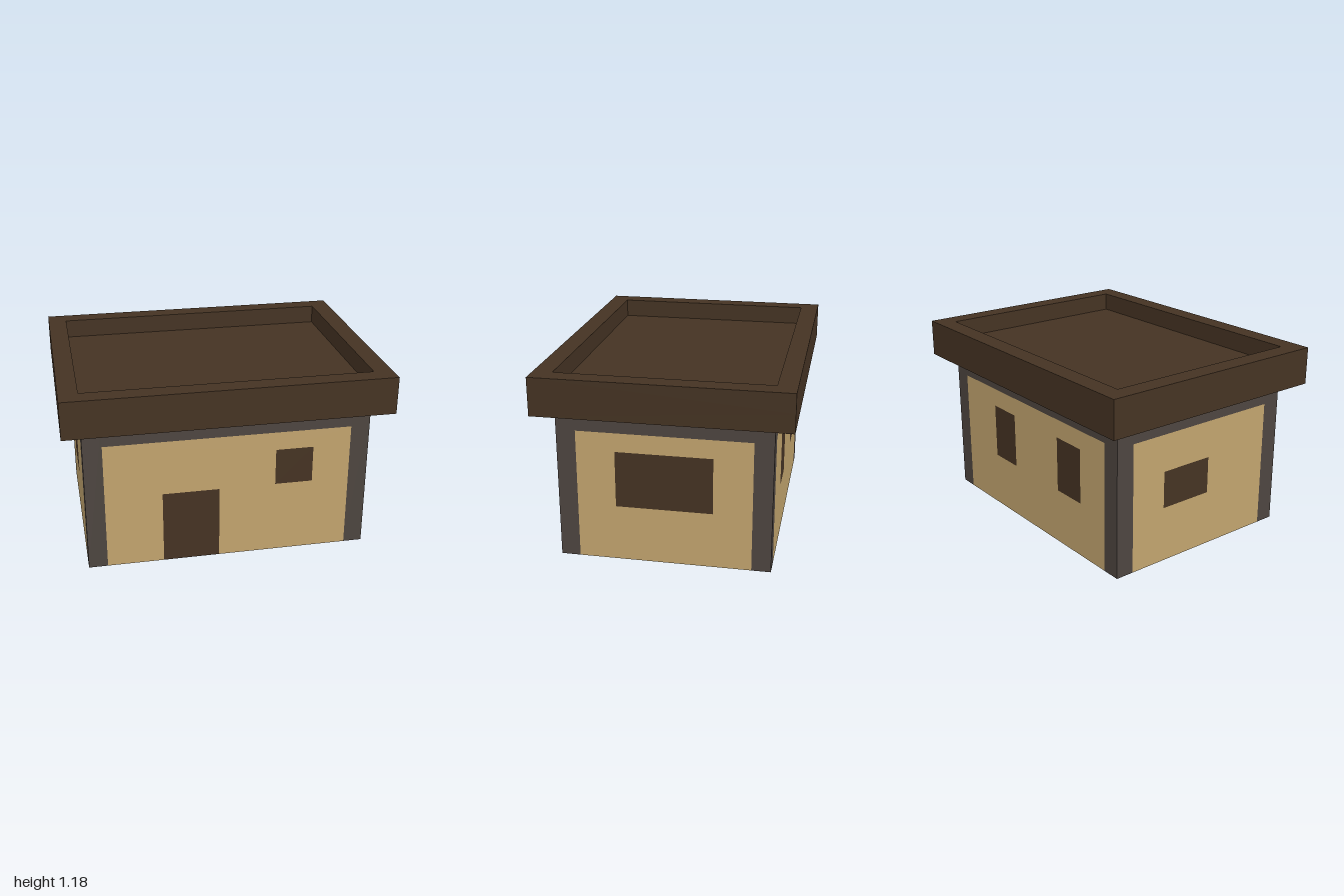
import * as THREE from 'three';

// The house sits on a block grid: 34 units across its longest side
const U = 2 / 34;
const WALL = 2; // wall thickness in units

const material = (name, color) => Object.assign(new THREE.MeshStandardMaterial({ color }), { name });

export function createModel() {
  const tan = material('tan plaster', 0xc2a46e);
  const grey = material('grey timber', 0x4d4540);
  const brown = material('dark brown wood', 0x453323);

  const house = new THREE.Group();
  house.name = 'house';

  const add = (parent, name, geometry, mat) => {
    const mesh = new THREE.Mesh(geometry, mat);
    mesh.name = name;
    parent.add(mesh);
    return mesh;
  };

  // Box between two corners, given in units
  const block = (parent, name, mat, [x0, y0, z0], [x1, y1, z1]) => {
    const g = new THREE.BoxGeometry((x1 - x0) * U, (y1 - y0) * U, (z1 - z0) * U);
    g.translate(((x0 + x1) / 2) * U, ((y0 + y1) / 2) * U, ((z0 + z1) / 2) * U);
    return add(parent, name, g, mat);
  };

  const points = (list) => list.map(([x, y]) => new THREE.Vector2(x * U, y * U));
  const rect = (x0, y0, x1, y1) => points([[x0, y0], [x1, y0], [x1, y1], [x0, y1]]);
  const extrude = (shape, depth) =>
    new THREE.ExtrudeGeometry(shape, { depth: depth * U, bevelEnabled: false });

  // A wall facing local +z: plaster panel, filled openings and a beam on top
  const makeWall = (name, half, outer, angle, windows, door) => {
    const wall = new THREE.Group();
    wall.name = name;
    const inner = outer - WALL;
    const outline = [[-half, 0]];
    if (door) outline.push([door[0], 0], [door[0], door[2]], [door[1], door[2]], [door[1], 0]);
    outline.push([half, 0], [half, 14], [-half, 14]);
    const shape = new THREE.Shape(points(outline));
    for (const w of windows) {
      shape.holes.push(new THREE.Path(rect(...w)));
      block(wall, 'window', brown, [w[0], w[1], inner], [w[2], w[3], outer]);
    }
    if (door) block(wall, 'door', brown, [door[0], 0, inner], [door[1], door[2], outer]);
    add(wall, 'plasterPanel', extrude(shape, WALL), tan).position.z = inner * U;
    block(wall, 'topBeam', grey, [-half, 14, inner], [half, 16, outer]);
    wall.rotation.y = angle;
    house.add(wall);
  };

  // Windows are [x0, y0, x1, y1]; the door is [x0, x1, height]
  makeWall('frontWall', 13, 11, 0, [[5, 8, 9, 12]], [-7, -1, 8]);
  makeWall('leftWall', 9, 15, Math.PI / 2, [[-5, 6, 5, 12]]);
  makeWall('backWall', 13, 11, Math.PI, [[-7, 6, -3, 12], [5, 6, 9, 12]]);
  makeWall('rightWall', 9, 15, -Math.PI / 2, [[-5, 6, 1, 10]]);

  // Corner posts
  for (const sx of [-1, 1]) {
    for (const sz of [-1, 1]) {
      const x = sx * 14, z = sz * 10;
      block(house, 'cornerPost', grey, [x - 1, 0, z - 1], [x + 1, 16, z + 1]);
    }
  }

  // Flat roof with a raised rim
  const roof = new THREE.Group();
  roof.name = 'roof';
  house.add(roof);
  block(roof, 'roofSlab', brown, [-17, 16, -13], [17, 18, 13]);
  const rim = new THREE.Shape(rect(-17, -13, 17, 13));
  rim.holes.push(new THREE.Path(rect(-15, -11, 15, 11)));
  const rimMesh = add(roof, 'roofRim', extrude(rim, 2), brown);
  rimMesh.rotation.x = -Math.PI / 2;
  rimMesh.position.y = 18 * U;

  return house;
}
